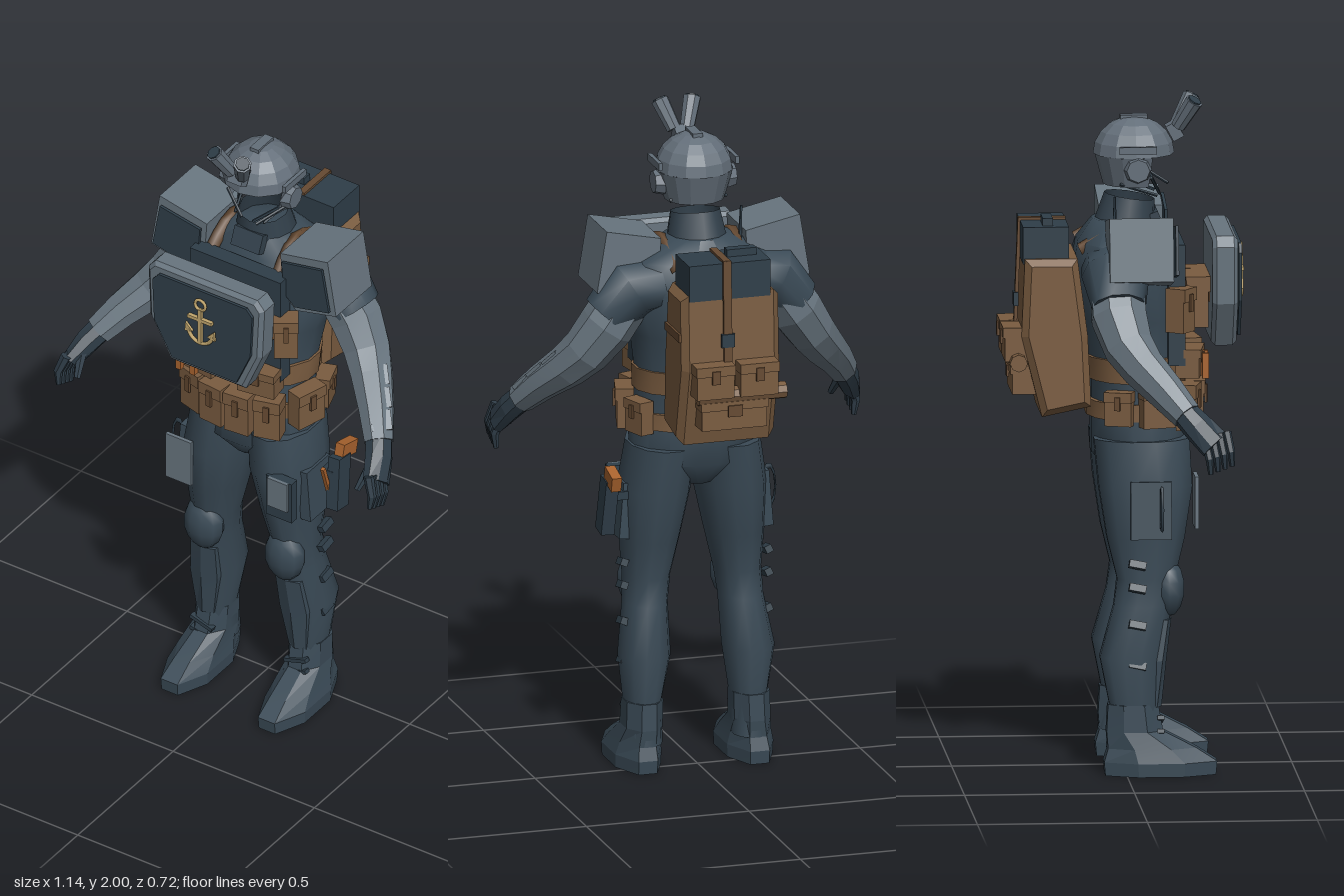
import * as THREE from 'three';
import { toCreasedNormals } from 'three/addons/utils/BufferGeometryUtils.js';

const V = (x, y, z) => new THREE.Vector3(x, y, z);

export function createModel() {
  const model = new THREE.Group();
  const mat = (name, color, double) => {
    const m = new THREE.MeshStandardMaterial({ color });
    m.name = name;
    if (double) m.side = THREE.DoubleSide;
    return m;
  };
  const suit = mat('slate suit', 0x3a4a56);
  const collarCloth = mat('collar cloth', 0x33414c, true);
  const glove = mat('dark glove', 0x2f3d48);
  const panel = mat('dark panel', 0x2f3e49);
  const grey = mat('armour grey', 0x68757f);
  const shell = mat('helmet grey', 0x636e79, true);
  const brown = mat('pouch brown', 0x7a5c40);
  const strapBrown = mat('strap brown', 0x664a32);
  const orange = mat('orange', 0xa9632e);
  const gold = mat('pale gold', 0xc2a76e);

  const add = (name, geo, material, parent = model) => {
    const m = new THREE.Mesh(geo, material);
    m.name = name;
    parent.add(m);
    return m;
  };
  const part = (name) => {
    const g = new THREE.Group();
    g.name = name;
    model.add(g);
    return g;
  };
  const box = (name, [w, h, d], [x, y, z], material, parent, [rx, ry, rz] = [0, 0, 0]) => {
    const m = add(name, new THREE.BoxGeometry(w, h, d), material, parent);
    m.position.set(x, y, z);
    m.rotation.set(rx, ry, rz);
    return m;
  };
  const rod = (name, a, b, r0, r1, material, parent, sides = 8) => {
    const g = new THREE.CylinderGeometry(r1, r0, a.distanceTo(b), sides);
    const m = add(name, toCreasedNormals(g, 0.5), material, parent);
    m.position.copy(a).add(b).multiplyScalar(0.5);
    m.quaternion.setFromUnitVectors(V(0, 1, 0), b.clone().sub(a).normalize());
    return m;
  };
  // Closed skin over elliptical rings [x, y, z, rx, rz]; rings face up, or follow the path.
  const loft = (rings, sides, follow, crease) => {
    const pos = [], idx = [], c = rings.map((r) => V(r[0], r[1], r[2])), n = rings.length;
    rings.forEach((r, i) => {
      const t = follow ? c[Math.min(i + 1, n - 1)].clone().sub(c[Math.max(i - 1, 0)]).normalize() : V(0, 1, 0);
      const v = V(0, 0, 1).addScaledVector(t, -t.z).normalize();
      const u = t.clone().cross(v);
      for (let j = 0; j < sides; j++) {
        const a = ((j + 0.5) / sides) * Math.PI * 2;
        const p = c[i].clone().addScaledVector(u, Math.cos(a) * r[3]).addScaledVector(v, Math.sin(a) * r[4]);
        pos.push(p.x, p.y, p.z);
        const k = i * sides + j, l = i * sides + ((j + 1) % sides);
        if (i < n - 1) idx.push(k, k + sides, l, l, k + sides, l + sides);
        if (i === 0) idx.push(n * sides, k, l);
        if (i === n - 1) idx.push(n * sides + 1, l, k);
      }
    });
    [c[0], c[n - 1]].forEach((p) => pos.push(p.x, p.y, p.z));
    const g = new THREE.BufferGeometry();
    g.setAttribute('position', new THREE.Float32BufferAttribute(pos, 3));
    g.setIndex(idx);
    return toCreasedNormals(g, crease);
  };
  const prism = (points, z0, z1, bevel = 0) => {
    const shape = new THREE.Shape(points.map(([x, y]) => new THREE.Vector2(x, y)));
    const g = new THREE.ExtrudeGeometry(shape, {
      depth: z1 - z0 - bevel, bevelEnabled: bevel > 0, bevelThickness: bevel, bevelSize: bevel, bevelOffset: -bevel, bevelSegments: 1,
    });
    return g.translate(0, 0, z0);
  };
  const FLAT = 0.1, SMOOTH = 0.9;

  // Torso, hips and open collar
  add('torso', loft([[0, 0.87, 0.05, 0.06, 0.09], [0, 0.94, 0.05, 0.19, 0.145], [0, 1.04, 0.045, 0.195, 0.14], [0, 1.18, 0.035, 0.175, 0.13],
    [0, 1.34, 0.015, 0.2, 0.15], [0, 1.48, 0, 0.25, 0.15], [0, 1.57, -0.01, 0.22, 0.125], [0, 1.63, 0, 0.1, 0.09]], 16, false, SMOOTH), suit);
  const collar = add('collar', new THREE.CylinderGeometry(0.075, 0.095, 0.1, 12, 1, true), collarCloth);
  collar.position.set(0, 1.645, 0.015);
  collar.rotation.x = 0.15;
  box('chestRig', [0.32, 0.36, 0.05], [0, 1.39, 0.15], panel);
  box('throatGuard', [0.1, 0.06, 0.03], [0, 1.62, 0.1], collarCloth, model, [-0.4, 0, 0]);

  // Helmet: open shell, side and back skirt, ear cups, straps
  const helmet = part('helmet');
  const dome = add('helmetDome', toCreasedNormals(new THREE.SphereGeometry(1, 12, 5, 0, Math.PI * 2, 0, Math.PI / 2), FLAT), shell, helmet);
  dome.scale.set(0.115, 0.11, 0.12);
  dome.position.set(0, 1.82, 0.035);
  const skirt = add('helmetSkirt', toCreasedNormals(new THREE.CylinderGeometry(0.115, 0.09, 0.09, 10, 1, true, Math.PI * 0.36, Math.PI * 1.28), FLAT), shell, helmet);
  skirt.position.set(0, 1.775, 0.035);
  add('helmetRidge', new THREE.BoxGeometry(0.03, 0.012, 0.08), shell, helmet).position.set(0, 1.928, 0.035);
  for (const s of [-1, 1]) {
    rod('earCup', V(s * 0.095, 1.785, 0.04), V(s * 0.125, 1.785, 0.04), 0.042, 0.034, shell, helmet);
    box('helmetRail', [0.012, 0.022, 0.11], [s * 0.118, 1.845, 0.04], shell, helmet);
    rod('chinStrap', V(s * 0.09, 1.76, 0.08), V(s * 0.02, 1.7, 0.11), 0.005, 0.005, panel, helmet, 5);
    rod('jawStrap', V(s * 0.085, 1.74, -0.01), V(s * 0.05, 1.7, 0.1), 0.005, 0.005, panel, helmet, 5);
    rod('nightVisionTube', V(s * 0.02, 1.9, 0.165), V(s * 0.05, 1.98, 0.21), 0.022, 0.027, shell, helmet);
    rod('nightVisionLens', V(s * 0.049, 1.977, 0.208), V(s * 0.0515, 1.984, 0.212), 0.021, 0.021, panel, helmet);
  }
  box('nightVisionMount', [0.05, 0.05, 0.035], [0, 1.885, 0.155], shell, helmet, [-0.5, 0, 0]);
  rod('microphone', V(0.115, 1.77, 0.05), V(0.05, 1.72, 0.14), 0.005, 0.005, panel, helmet, 5);
  rod('antenna', V(-0.12, 1.57, -0.03), V(-0.125, 1.71, -0.03), 0.007, 0.004, panel, model, 5);

  // Chest shield with inset panel and anchor emblem
  const shield = part('chestShield');
  const outline = [[-0.21, 1.57], [-0.185, 1.6], [0.175, 1.6], [0.2, 1.57], [0.192, 1.4], [0.135, 1.265], [-0.13, 1.265], [-0.203, 1.4]];
  add('shieldBody', prism(outline, 0.265, 0.328, 0.012), grey, shield);
  add('shieldPanel', prism(outline.map(([x, y]) => [x * 0.86, 1.435 + (y - 1.435) * 0.84]), 0.332, 0.341), panel, shield);
  const anchor = new THREE.Group();
  anchor.name = 'anchorEmblem';
  anchor.position.set(-0.005, 0, 0.35);
  shield.add(anchor);
  add('anchorRing', new THREE.TorusGeometry(0.018, 0.005, 6, 14), gold, anchor).position.y = 1.53;
  box('anchorShank', [0.013, 0.12, 0.012], [0, 1.455, 0], gold, anchor);
  box('anchorStock', [0.085, 0.011, 0.012], [0, 1.478, 0], gold, anchor);
  const arc = add('anchorArms', new THREE.TorusGeometry(0.042, 0.006, 6, 14, Math.PI), gold, anchor);
  arc.rotation.z = Math.PI;
  arc.position.y = 1.435;
  for (const s of [-1, 1]) add('anchorFluke', prism([[s * 0.05, 1.452], [s * 0.026, 1.427], [s * 0.053, 1.42]], -0.004, 0.004), gold, anchor);

  // Arms, shoulder boxes, hands and legs, one of each per side
  for (const s of [-1, 1]) {
    const side = s > 0 ? 'left' : 'right';
    const arm = part(side + 'Arm');
    add('shoulder', loft([[s * 0.14, 1.5, -0.03, 0.08, 0.1], [s * 0.22, 1.49, -0.035, 0.095, 0.1], [s * 0.29, 1.41, -0.03, 0.075, 0.08]], 10, true, SMOOTH), suit, arm);
    add('sleeve', loft([[s * 0.22, 1.48, -0.03, 0.08, 0.085], [s * 0.29, 1.38, -0.03, 0.082, 0.085], [s * 0.345, 1.3, -0.005, 0.073, 0.075],
      [s * 0.39, 1.245, 0.035, 0.066, 0.065], [s * 0.45, 1.18, 0.1, 0.055, 0.055], [s * 0.495, 1.12, 0.155, 0.046, 0.045]], 8, true, FLAT), grey, arm);
    add('palm', loft([[s * 0.485, 1.135, 0.14, 0.04, 0.04], [s * 0.515, 1.09, 0.185, 0.038, 0.046], [s * 0.54, 1.04, 0.235, 0.028, 0.05]], 8, true, FLAT), glove, arm);
    for (let i = 0; i < 4; i++) {
      const z = 0.205 + i * 0.021;
      add('finger', loft([[s * 0.535, 1.06 + i * 0.006, z, 0.017, 0.014], [s * 0.555, 1.0 + i * 0.007, z + 0.012, 0.014, 0.012],
        [s * 0.55, 0.955 + i * 0.008, z + 0.016, 0.008, 0.008]], 6, true, FLAT), glove, arm);
    }
    rod('thumb', V(s * 0.51, 1.08, 0.22), V(s * 0.495, 1.015, 0.27), 0.017, 0.01, glove, arm, 6);

    const pad = part(side + 'ShoulderBox');
    const padShape = [[0.13, 1.64], [0.297, 1.675], [0.327, 1.49], [0.185, 1.455], [0.14, 1.5]];
    add('shoulderShell', prism(padShape.map(([x, y]) => [s * x, y]), -0.058, 0.13), grey, pad);
    add('shoulderPanel', prism(padShape.map(([x, y]) => [s * (0.225 + (x - 0.225) * 0.85), 1.563 + (y - 1.563) * 0.78]), 0.137, 0.146), panel, pad);

    const leg = part(side + 'Leg');
    add('trouserLeg', loft([[s * 0.163, 0.08, 0.01, 0.055, 0.07], [s * 0.163, 0.2, 0.025, 0.055, 0.075], [s * 0.16, 0.35, 0.015, 0.077, 0.095],
      [s * 0.147, 0.5, 0.05, 0.066, 0.088], [s * 0.14, 0.58, 0.06, 0.07, 0.088], [s * 0.13, 0.7, 0.06, 0.088, 0.118],
      [s * 0.116, 0.85, 0.06, 0.107, 0.142], [s * 0.1, 0.99, 0.05, 0.1, 0.145]], 12, false, SMOOTH), suit, leg);
    add('boot', loft([[s * 0.172, 0, 0.1, 0.075, 0.176], [s * 0.172, 0.04, 0.1, 0.077, 0.18], [s * 0.17, 0.08, 0.075, 0.068, 0.14],
      [s * 0.166, 0.13, 0.025, 0.06, 0.09], [s * 0.164, 0.21, 0.02, 0.06, 0.08]], 8, false, FLAT), suit, leg);
    const knee = add('kneePad', new THREE.SphereGeometry(1, 10, 7), suit, leg);
    knee.scale.set(0.066, 0.088, 0.05);
    knee.position.set(s * 0.143, 0.55, 0.125);
    add('shinGuard', loft([[s * 0.163, 0.2, 0.075, 0.035, 0.03], [s * 0.158, 0.34, 0.09, 0.055, 0.03], [s * 0.15, 0.46, 0.11, 0.05, 0.025]], 6, false, FLAT), suit, leg);
    for (const y of [0.33, 0.45, 0.56, 0.63]) box('legStrapTab', [0.022, 0.022, 0.05], [s * 0.222, y, 0.03], panel, leg, [0.2, 0, s * 0.4]);
    box('thighPocket', [0.035, 0.17, 0.12], [s * 0.213, 0.79, 0.07], suit, leg, [0, 0, s * 0.08]);
    for (const y of [0.12, 0.16]) box('bootLace', [0.08, 0.012, 0.02], [s * 0.166, y, 0.1], panel, leg, [0, 0, s * 0.3]);

    // Backpack shoulder strap
    const path = new THREE.CatmullRomCurve3([V(s * 0.13, 1.36, 0.17), V(s * 0.12, 1.52, 0.145), V(s * 0.11, 1.62, 0.02), V(s * 0.1, 1.55, -0.13)]);
    add('shoulderStrap', new THREE.TubeGeometry(path, 12, 0.02, 5), strapBrown);
  }

  // Left forearm device, thigh plates, holster and right hip clip
  [[0.42, 1.265, 0.05], [0.455, 1.22, 0.09], [0.485, 1.175, 0.13]].forEach((p) => box('forearmDevice', [0.06, 0.035, 0.06], p, grey, model, [0, -0.8, -0.75]));
  box('rightThighPlate', [0.09, 0.155, 0.012], [-0.177, 0.813, 0.205], grey);
  box('leftThighPouch', [0.09, 0.14, 0.03], [0.175, 0.81, 0.19], panel);
  box('leftThighPlate', [0.07, 0.1, 0.01], [0.175, 0.83, 0.21], grey);
  box('holster', [0.04, 0.17, 0.06], [0.268, 0.81, 0.03], panel, model, [-0.15, 0, 0.05]);
  box('holsterStrap', [0.06, 0.025, 0.05], [0.235, 0.84, 0.03], panel);
  box('pistolGrip', [0.03, 0.045, 0.075], [0.265, 0.902, -0.015], orange, model, [-0.25, 0, 0]);
  box('pistolLanyard', [0.012, 0.1, 0.012], [0.25, 0.83, 0.07], orange, model, [0.3, 0, 0]);
  const clip = add('hipClip', new THREE.TorusGeometry(0.035, 0.005, 5, 10), panel);
  clip.position.set(-0.25, 0.8, 0.1);
  clip.scale.set(0.6, 1.8, 1);

  // Belt and pouches
  const belt = part('belt');
  add('beltBand', loft([[0, 1.05, 0.04, 0.196, 0.15], [0, 1.1, 0.04, 0.196, 0.15]], 16, false, SMOOTH), brown, belt);
  add('waistBand', loft([[0, 1.16, 0.035, 0.186, 0.143], [0, 1.23, 0.03, 0.19, 0.15]], 16, false, SMOOTH), brown, belt);
  const pouch = (name, size, p, ry, parent) => {
    const g = new THREE.Group();
    g.name = name;
    g.position.set(...p);
    g.rotation.y = ry;
    parent.add(g);
    const [w, h, d] = size;
    box('pouchBody', size, [0, 0, 0], brown, g);
    box('pouchFlap', [w * 1.04, h * 0.3, d * 1.06], [0, h * 0.36, 0.004], brown, g);
    box('pouchTab', [w * 0.22, h * 0.4, 0.008], [0, h * 0.18, d / 2 + 0.007], strapBrown, g);
  };
  for (let i = 0; i < 4; i++) pouch('beltPouch', [0.08, 0.135, 0.055], [-0.129 + i * 0.086, 1.085, 0.195 + (i % 3 ? 0.015 : -0.01)], (i - 1.5) * 0.18, belt);
  for (const s of [-1, 1]) {
    pouch('sidePouch', [0.1, 0.12, 0.05], [s * 0.195, 1.095, 0.09], s * 1.3, belt);
    pouch('rearPouch', [0.08, 0.1, 0.045], [s * 0.185, 1.09, -0.02], s * 1.9, belt);
    pouch('upperPouch', [0.12, 0.085, 0.07], [s * 0.1, 1.215, 0.19], s * 0.15, belt);
    pouch('chestSidePouch', [0.07, 0.13, 0.06], [s * 0.17, 1.38, 0.16], s * 0.6, belt);
    box('orangeTag', [0.018, 0.075, 0.02], [-0.13 + s * 0.025, 1.21, 0.235], orange, belt);
  }
  for (let i = -1; i <= 1; i++) pouch('magazinePouch', [0.07, 0.15, 0.075], [i * 0.075, 1.39, 0.21], 0, belt);

  // Backpack: tapered body, dark lid box, straps and lower pouches
  const pack = part('backpack');
  const packBody = prism([[0.1, 1.09], [0.245, 1.06], [0.305, 1.3], [0.295, 1.53], [0.14, 1.53], [0.11, 1.3]], -0.14, 0.14, 0.02);
  add('packBody', packBody.rotateY(Math.PI / 2), brown, pack);
  box('packLid', [0.25, 0.11, 0.135], [-0.005, 1.568, -0.232], panel, pack);
  box('lidTube', [0.09, 0.03, 0.03], [-0.06, 1.63, -0.225], panel, pack);
  box('lidStrap', [0.022, 0.008, 0.14], [0.005, 1.628, -0.235], strapBrown, pack);
  box('packStrap', [0.025, 0.32, 0.01], [0.005, 1.47, -0.307], strapBrown, pack, [0.04, 0, 0]);
  box('strapBuckle', [0.04, 0.04, 0.014], [0.005, 1.39, -0.312], panel, pack);
  for (const x of [-0.08, 0.055]) pouch('packPouch', [0.115, 0.1, 0.07], [x, 1.275, -0.318], Math.PI, pack);
  pouch('packLowerPouch', [0.2, 0.085, 0.07], [-0.01, 1.165, -0.295], Math.PI, pack);
  rod('packRoll', V(-0.17, 1.225, -0.315), V(0.1, 1.225, -0.315), 0.026, 0.026, brown, pack);
  for (const s of [-1, 1]) box('packSideStrap', [0.008, 0.025, 0.14], [s * 0.143, 1.4, -0.215], strapBrown, pack);
  return model;
}
